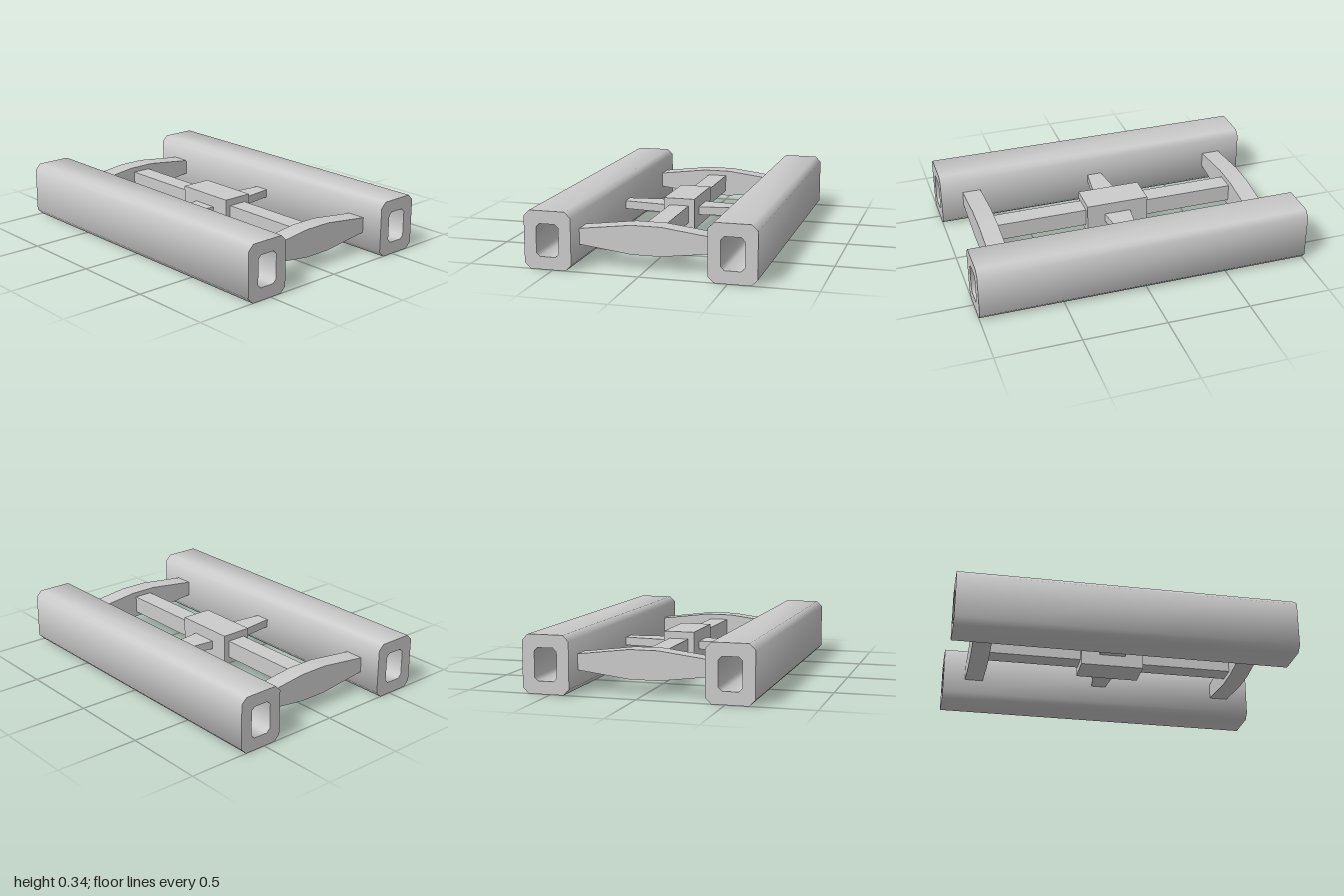
import * as THREE from 'three';
import { toCreasedNormals } from 'three/addons/utils/BufferGeometryUtils.js';

const MID_Y = 0.168; // height of the shared centre plane

// Corners of a rectangle with cut corners, centred on the origin
function chamferedRect(w, h, c) {
  const a = w / 2, b = h / 2;
  return [
    [-a + c, -b], [a - c, -b], [a, -b + c], [a, b - c],
    [a - c, b], [-a + c, b], [-a, b - c], [-a, -b + c],
  ].map(([x, y]) => new THREE.Vector2(x, y));
}

// Extrudes a shape by a length, centred; chamfers are shaded smoothly
function extrude(shape, length) {
  const geo = new THREE.ExtrudeGeometry(shape, { depth: length, bevelEnabled: false });
  geo.translate(0, 0, -length / 2);
  return toCreasedNormals(geo, THREE.MathUtils.degToRad(50));
}

// Outline that is thick in the middle and narrows towards both ends
function taperedShape(halfLength, flat, halfEnd, halfMid) {
  return new THREE.Shape([
    [-halfLength, -halfEnd], [-flat, -halfMid], [flat, -halfMid], [halfLength, -halfEnd],
    [halfLength, halfEnd], [flat, halfMid], [-flat, halfMid], [-halfLength, halfEnd],
  ].map(([x, y]) => new THREE.Vector2(x, y)));
}

export function createModel() {
  const group = new THREE.Group();
  const material = new THREE.MeshStandardMaterial({ color: 0xcccccc });
  const add = (name, geometry, x = 0, z = 0) => {
    const mesh = new THREE.Mesh(geometry, material);
    mesh.name = name;
    mesh.position.set(x, MID_Y, z);
    group.add(mesh);
  };

  // Hollow side beams, running along x
  const beamShape = new THREE.Shape(chamferedRect(0.275, 0.336, 0.034));
  beamShape.holes.push(new THREE.Path(chamferedRect(0.132, 0.188, 0.02).reverse()));
  const beam = extrude(beamShape, 2).rotateY(Math.PI / 2);
  add('frontBeam', beam, 0, 0.5275);
  add('backBeam', beam, 0, -0.5275);

  // Cross arms, deeper in the middle
  const arm = extrude(taperedShape(0.39, 0.085, 0.046, 0.084), 0.113).rotateY(Math.PI / 2);
  add('leftCrossArm', arm, 0.807);
  add('rightCrossArm', arm, -0.807);

  // Central bar between the arms, with its hub block
  add('centreBar', new THREE.BoxGeometry(1.51, 0.105, 0.118));
  add('hubBlock', new THREE.BoxGeometry(0.384, 0.19, 0.19));

  // Flat spoke from beam to beam, wider at the hub
  const spoke = extrude(taperedShape(0.39, 0.09, 0.045, 0.082), 0.05);
  spoke.rotateX(Math.PI / 2).rotateY(Math.PI / 2);
  add('hubSpoke', spoke);

  return group;
}
